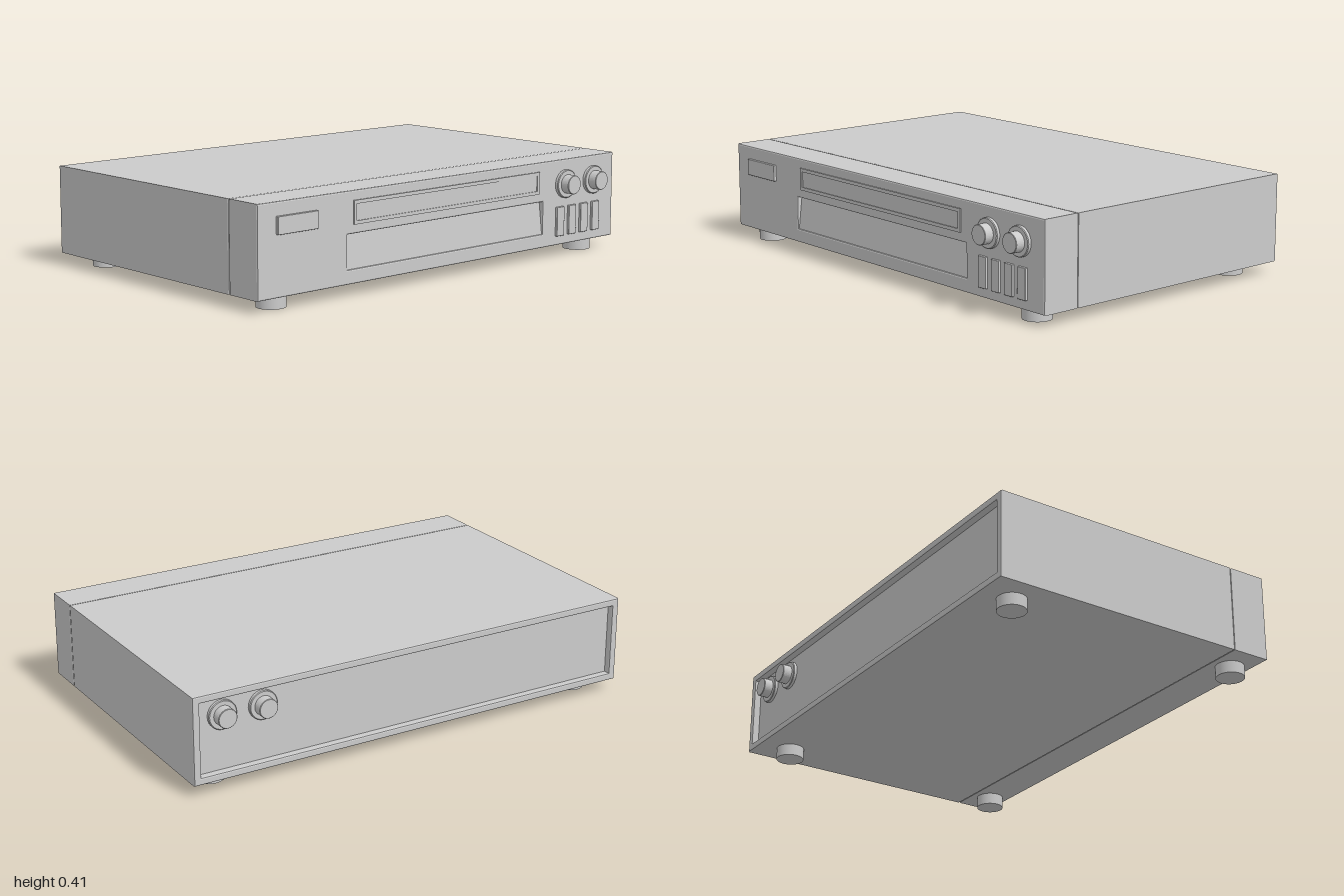
import * as THREE from 'three';
import { RoundedBoxGeometry } from 'three/addons/geometries/RoundedBoxGeometry.js';

const BOTTOM = 0.05, TOP = 0.415, FACE = 0.625, BACK = -0.655, SEAM = 0.457;

export function createModel() {
  const model = new THREE.Group();
  const grey = new THREE.MeshStandardMaterial({ color: 0xcccccc });

  const add = (name, geometry, x = 0, y = 0, z = 0, parent = model) => {
    const mesh = new THREE.Mesh(geometry, grey);
    mesh.name = name;
    mesh.position.set(x, y, z);
    parent.add(mesh);
    return mesh;
  };

  // Rectangle path in the (z, y) plane
  const rect = (path, halfWidth, y0, y1) => {
    path.moveTo(-halfWidth, y0);
    path.lineTo(halfWidth, y0);
    path.lineTo(halfWidth, y1);
    path.lineTo(-halfWidth, y1);
    path.closePath();
    return path;
  };

  // Bevelled rectangular tube running along x from x0 to x1
  const sleeve = (x0, x1, outer, inner, bevel) => {
    const shape = rect(new THREE.Shape(), ...outer);
    shape.holes.push(rect(new THREE.Path(), ...inner));
    const geometry = new THREE.ExtrudeGeometry(shape, {
      depth: x1 - x0 - 2 * bevel, bevelEnabled: bevel > 0,
      bevelThickness: bevel, bevelSize: bevel, bevelOffset: 0, bevelSegments: 2,
    });
    geometry.translate(0, 0, bevel).rotateY(Math.PI / 2).translate(x0, 0, 0);
    return geometry;
  };
  const bevel = 0.006;
  const outline = [1 - bevel, BOTTOM + bevel, TOP - bevel];

  // Casing, open at the rear, with a recessed back plate
  add('casing', sleeve(BACK, SEAM, outline, [0.976, BOTTOM + 0.024, TOP - 0.024], bevel));
  add('backPlate', new THREE.BoxGeometry(0.02, 0.33, 1.97), -0.635 + 0.02, 0.2325, 0);

  // Front panel with the tray opening
  add('frontPanel', sleeve(SEAM, FACE, outline, [0.56, 0.102, 0.252], bevel));

  // Tray flap, leaning inwards at its top edge
  const flap = add('trayFlap', new THREE.BoxGeometry(0.02, 0.165, 1.13).translate(-0.01, 0.0825, 0), 0.621, 0.096, 0);
  flap.rotation.z = 0.12;

  // Display window with a thin raised frame
  add('displayFrame', sleeve(FACE - 0.005, FACE + 0.006, [0.525, 0.282, 0.376], [0.511, 0.296, 0.362], 0));
  add('displayWindow', new THREE.BoxGeometry(0.01, 0.07, 1.03), FACE - 0.003, 0.329, 0);

  // Power button and row of control buttons
  add('powerButton', new RoundedBoxGeometry(0.03, 0.07, 0.2, 2, 0.003), 0.622, 0.325, 0.81);
  for (let i = 0; i < 4; i++) {
    add('controlButton', new RoundedBoxGeometry(0.03, 0.125, 0.046, 2, 0.003), 0.621, 0.152, -0.657 - i * 0.075);
  }

  // Knobs at the front and matching sockets at the rear
  const knobProfile = [[0, -0.01], [0.06, -0.01], [0.06, 0.012], [0.057, 0.015], [0.04, 0.015],
    [0.04, 0.053], [0.038, 0.055], [0, 0.055]];
  // Doubled profile points keep the rims crisp
  const points = knobProfile.flatMap(([r, h]) => [new THREE.Vector2(r, h), new THREE.Vector2(r, h)]);
  const knobGeometry = new THREE.LatheGeometry(points.slice(1, -1), 40).toNonIndexed();
  knobGeometry.computeVertexNormals();
  for (const side of [1, -1]) {
    for (const z of [-0.69, -0.865]) {
      const knob = add(side > 0 ? 'frontKnob' : 'rearSocket', knobGeometry, side * FACE, 0.31, z);
      knob.rotation.z = -side * Math.PI / 2;
    }
  }

  // Feet
  for (const x of [-0.517, 0.541]) {
    for (const z of [-0.867, 0.867]) {
      add('foot', new THREE.CylinderGeometry(0.059, 0.059, 0.054, 40), x, 0.027, z);
    }
  }

  return model;
}
